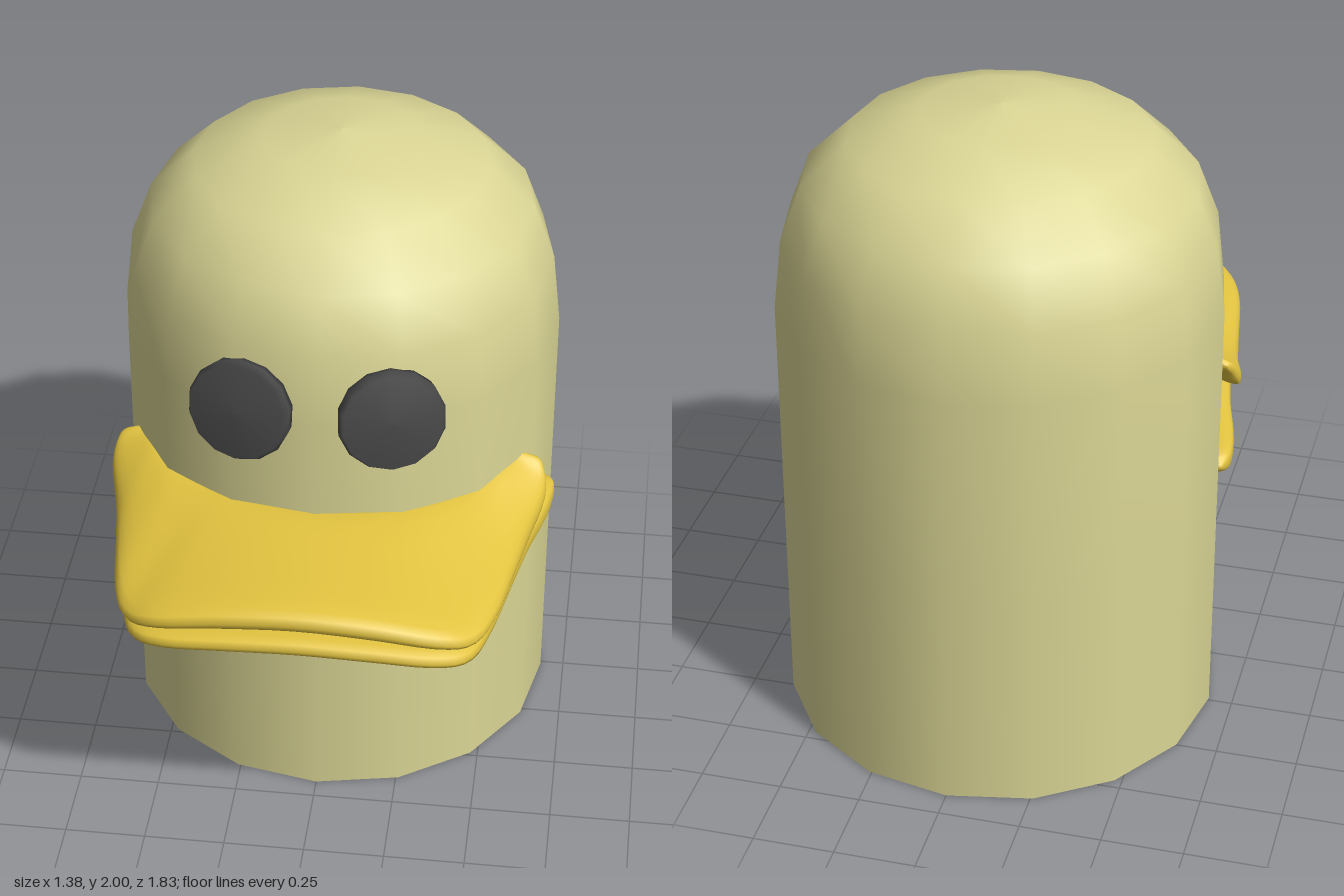
import * as THREE from 'three';

const lathe = (pts, sides) =>
  new THREE.LatheGeometry(pts.map(([r, y]) => new THREE.Vector2(r, y)), sides);

const HEAD_Z = -0.24;      // axis of the head
const INNER_RADIUS = 0.63; // bill roots sit just inside the head wall

// Sweeps a rounded slab around the head, from one wing tip to the other.
// Half stations, centre to tip: [rimX, rimY, rimZ, rootY, rootAngle, halfThickness, dip]
function billGeometry(half, steps = 64, ring = 20) {
  const mirrored = half.slice(1).reverse().map(([x, y, z, ry, a, h, d]) => [-x, y, z, ry, -a, h, d]);
  const rows = [...mirrored, ...half];
  const curve = (f) => new THREE.CatmullRomCurve3(rows.map(f), false, 'catmullrom', 0.5);
  const rim = curve((r) => new THREE.Vector3(r[0], r[1], r[2]));
  const root = curve((r) => new THREE.Vector3(r[3], THREE.MathUtils.degToRad(r[4]), 0));
  const form = curve((r) => new THREE.Vector3(r[5], r[6], 0));
  const soft = (v, e) => Math.sign(v) * Math.abs(v) ** e;
  const pos = [], index = [];
  for (let i = 0; i <= steps; i++) {
    const t = i / steps;
    const outer = rim.getPoint(t), r = root.getPoint(t), f = form.getPoint(t);
    const inner = new THREE.Vector3(
      INNER_RADIUS * Math.sin(r.y), r.x, HEAD_Z + INNER_RADIUS * Math.cos(r.y));
    for (let k = 0; k < ring; k++) {
      const a = (k / ring) * Math.PI * 2;
      const u = 0.5 + 0.5 * soft(Math.cos(a), 0.8);
      const p = inner.clone().lerp(outer, u);
      p.y += f.x * soft(Math.sin(a), 0.6) - f.y * Math.sin(Math.PI * u);
      pos.push(p.x, p.y, p.z);
      if (i < steps) {
        const n = (k + 1) % ring, A = i * ring + k, B = A + ring;
        const C = i * ring + n, D = C + ring;
        index.push(A, B, C, B, D, C);
      }
    }
  }
  // close the wing tips
  for (let k = 1; k < ring - 1; k++) {
    const e = steps * ring;
    index.push(0, k, k + 1, e, e + k + 1, e + k);
  }
  const g = new THREE.BufferGeometry();
  g.setAttribute('position', new THREE.Float32BufferAttribute(pos, 3));
  g.setIndex(index);
  g.computeVertexNormals();
  return g;
}

export function createModel() {
  const model = new THREE.Group();
  const skin = new THREE.MeshStandardMaterial({ color: 0xdbd695, side: THREE.DoubleSide });
  const yellow = new THREE.MeshStandardMaterial({ color: 0xe3c440 });
  const dark = new THREE.MeshStandardMaterial({ color: 0x484848 });
  const add = (name, geometry, material) => {
    const mesh = new THREE.Mesh(geometry, material);
    mesh.name = name;
    model.add(mesh);
    return mesh;
  };

  // Domed head, open underneath
  add('head', lathe([
    [0.675, 0], [0.675, 0.7], [0.675, 1.38], [0.65, 1.6], [0.585, 1.77],
    [0.45, 1.9], [0.24, 1.975], [0, 2],
  ], 16), skin).position.z = HEAD_Z;

  // Flat disc eyes, turned outward and leaning back
  const eye = lathe([[0, -0.035], [0.155, -0.035], [0.162, 0.01], [0.15, 0.032], [0, 0.04]], 14);
  eye.rotateX(Math.PI / 2);
  for (const side of [1, -1]) {
    const mesh = add(side > 0 ? 'leftEye' : 'rightEye', eye, dark);
    mesh.position.set(side * 0.222, 1.41, 0.405);
    mesh.rotation.set(-0.14, side * 0.25, 0, 'YXZ');
  }

  // Upper bill: arched lip, drooping corners, raised wings
  add('upperBill', billGeometry([
    [0, 1.015, 0.91, 1.04, 0, 0.045, 0.015],
    [0.22, 1.0, 0.905, 1.04, 12, 0.045, 0.015],
    [0.41, 0.965, 0.885, 1.04, 24, 0.04, 0.015],
    [0.51, 0.935, 0.82, 1.04, 33, 0.035, 0.015],
    [0.565, 0.93, 0.68, 1.04, 41, 0.035, 0.015],
    [0.605, 0.925, 0.45, 1.045, 49, 0.038, 0.01],
    [0.635, 0.93, 0.28, 1.05, 56, 0.04, 0],
    [0.672, 0.97, 0.13, 1.05, 60, 0.04, 0],
    [0.66, 1.03, 0.07, 1.06, 62, 0.028, 0],
    [0.64, 1.05, 0.045, 1.06, 63, 0.01, 0],
  ]), yellow);

  // Lower bill: thinner, with longer wings
  add('lowerBill', billGeometry([
    [0, 0.915, 0.9, 0.87, 0, 0.036, 0],
    [0.22, 0.905, 0.895, 0.865, 14, 0.036, 0],
    [0.4, 0.885, 0.875, 0.855, 28, 0.036, 0],
    [0.5, 0.865, 0.81, 0.85, 40, 0.036, 0],
    [0.55, 0.85, 0.65, 0.845, 50, 0.036, 0],
    [0.59, 0.835, 0.42, 0.835, 60, 0.038, 0],
    [0.63, 0.825, 0.2, 0.83, 70, 0.04, 0],
    [0.675, 0.82, 0.02, 0.825, 77, 0.038, 0],
    [0.692, 0.82, -0.11, 0.82, 82, 0.034, 0],
    [0.675, 0.82, -0.17, 0.82, 84, 0.012, 0],
  ]), yellow);

  return model;
}
